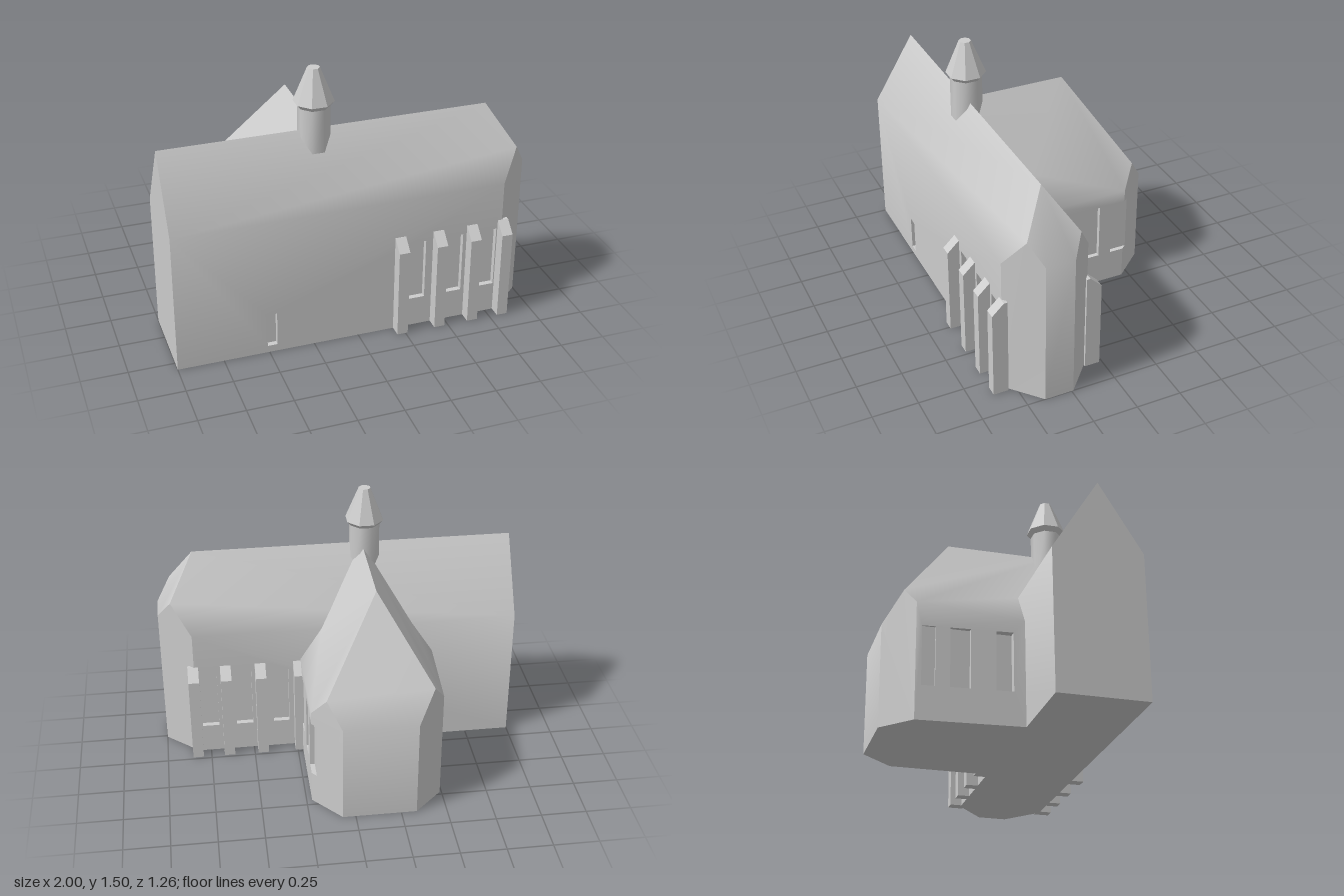
import * as THREE from 'three';
import { toCreasedNormals } from 'three/addons/utils/BufferGeometryUtils.js';

const V = (x, y, z) => new THREE.Vector3(x, y, z);

// Collects planar polygons (with holes), each facing along its outward hint
class Shell {
  constructor() { this.pos = []; }
  face(out, pts, holes = []) {
    const a = [Math.abs(out.x), Math.abs(out.y), Math.abs(out.z)];
    const drop = a.indexOf(Math.max(...a));
    const flat = p => new THREE.Vector2(...p.toArray().filter((_, i) => i !== drop));
    const outline = pts.map(flat);
    let all = [...pts];
    if (THREE.ShapeUtils.isClockWise(outline)) { outline.reverse(); all.reverse(); }
    holes.forEach(h => all.push(...h));
    for (const [i, j, k] of THREE.ShapeUtils.triangulateShape(outline, holes.map(h => h.map(flat)))) {
      const n = all[j].clone().sub(all[i]).cross(all[k].clone().sub(all[i]));
      const tri = n.dot(out) >= 0 ? [i, j, k] : [i, k, j];
      tri.forEach(t => this.pos.push(...all[t].toArray()));
    }
  }
  // Window recess: back pane and reveals between two quads
  recess(out, front, back, openSide = -1) {
    this.face(out, back);
    const mid = ps => ps.reduce((s, p) => s.add(p), V(0, 0, 0)).divideScalar(ps.length);
    const c = mid([...front, ...back]);
    for (let i = 0; i < 4; i++) {
      if (i === openSide) continue;
      const j = (i + 1) % 4, side = [front[i], front[j], back[j], back[i]];
      this.face(c.clone().sub(mid(side)), side);
    }
  }
  mesh(name, material) {
    const g = new THREE.BufferGeometry();
    g.setAttribute('position', new THREE.Float32BufferAttribute(this.pos, 3));
    const m = new THREE.Mesh(toCreasedNormals(g, 0.64), material);
    m.name = name;
    return m;
  }
}

function buildNave(mat) {
  const s = new Shell();
  const westRidge = V(-1, 1.17, 0.33), eastRidge = V(0.79, 1.17, 0.33);
  const sides = [
    { z: 0.56, eave: 0.79, d: 1, apex: V(0.925, 0.95, 0.467), endZ: 0.40 },
    { z: 0.08, eave: 0.77, d: -1, apex: V(0.927, 0.935, 0.176), endZ: 0.24 },
  ];
  for (const { z, eave, d, apex, endZ } of sides) {
    const out = V(0, 0, d);
    const openings = [[0.29, 0.38, 0.17, 0.52], [0.50, 0.595, 0.17, 0.52], [0.695, 0.79, 0.17, 0.52]];
    if (d > 0) openings.push([-0.51, -0.455, 0.04, 0.235]); // small door
    const quad = ([a, b, c, e], zz) => [V(a, c, zz), V(b, c, zz), V(b, e, zz), V(a, e, zz)];
    s.face(out, [V(-1, 0, z), V(0.82, 0, z), V(0.82, eave, z), V(-1, eave, z)], openings.map(o => quad(o, z)));
    openings.forEach(o => s.recess(out, quad(o, z), quad(o, z - d * 0.03)));
    // roof slope and canted apse wall
    s.face(V(0, 0.8, d), [V(-1, eave, z), V(0.82, eave, z), apex, eastRidge, westRidge]);
    s.face(V(0.9, 0, d), [V(0.82, 0, z), V(1, 0, endZ), V(1, 0.83, endZ), apex, V(0.82, eave, z)]);
  }
  // gable end, apse end, hip and floor
  s.face(V(-1, 0, 0), [V(-1, 0, 0.08), V(-1, 0, 0.56), V(-1, 0.79, 0.56), westRidge, V(-1, 0.77, 0.08)]);
  s.face(V(1, 0, 0), [V(1, 0, 0.24), V(1, 0, 0.40), V(1, 0.83, 0.40), V(1, 0.83, 0.24)]);
  s.face(V(1, 0.6, 0), [eastRidge, sides[0].apex, V(1, 0.83, 0.40), V(1, 0.83, 0.24), sides[1].apex]);
  s.face(V(0, -1, 0), [V(-1, 0, 0.08), V(-1, 0, 0.56), V(0.82, 0, 0.56), V(1, 0, 0.40), V(1, 0, 0.24), V(0.82, 0, 0.08)]);
  return s.mesh('nave', mat);
}

function buildTransept(mat) {
  const s = new Shell();
  const ridgeIn = V(-0.155, 1.17, 0.33), ridgeOut = V(-0.155, 1.17, -0.24);
  const apexE = V(0.145, 0.70, -0.54), apexW = V(-0.43, 0.73, -0.535);
  const lo = 0.185, hi = 0.51;
  const quad = (z0, z1, x0, x1 = x0) => [V(x0, lo, z0), V(x1, lo, z1), V(x1, hi, z1), V(x0, hi, z0)];
  const bays = [[0.02, -0.07], [-0.2, -0.305]];

  // east wall, its last window breaking through the canted corner
  const east = V(1, 0, 0), ex = 0.22, bx = 0.195;
  s.face(east, [V(ex, 0, 0.08), V(ex, 0, -0.46), V(ex, lo, -0.46), V(ex, lo, -0.38), V(ex, hi, -0.38),
    V(ex, hi, -0.46), V(ex, 0.58, -0.46), V(ex, 0.58, 0.08)], bays.map(([a, b]) => quad(a, b, ex)));
  bays.forEach(([a, b]) => s.recess(east, quad(a, b, ex), quad(a, b, bx)));
  s.recess(east, quad(-0.38, -0.46, ex), quad(-0.38, -0.488, bx), 1);
  s.face(V(1, 0, -0.9), [V(ex, 0, -0.46), V(0.07, 0, -0.63), V(0.07, 0.565, -0.63), apexE, V(ex, 0.58, -0.46),
    V(ex, hi, -0.46), V(bx, hi, -0.488), V(bx, lo, -0.488), V(ex, lo, -0.46)]);

  // west wall, slightly tapered in plan
  const west = V(-1, 0, 0), wx = z => -0.53 + 0.04 * (0.08 - z) / 0.56;
  const westBays = [...bays, [-0.38, -0.45]];
  const outer = ([a, b]) => quad(a, b, wx(a), wx(b));
  s.face(west, [V(-0.53, 0, 0.08), V(-0.49, 0, -0.48), V(-0.49, 0.64, -0.48), V(-0.53, 0.58, 0.08)], westBays.map(outer));
  westBays.forEach(b => s.recess(west, outer(b), quad(b[0], b[1], -0.485)));
  s.face(V(-0.9, 0, -1), [V(-0.49, 0, -0.48), V(-0.335, 0, -0.63), V(-0.335, 0.565, -0.63), apexW, V(-0.49, 0.64, -0.48)]);

  // end wall, roof slopes meeting the nave at the valleys, hip and floor
  s.face(V(0, 0, -1), [V(-0.335, 0, -0.63), V(0.07, 0, -0.63), V(0.07, 0.565, -0.63), V(-0.335, 0.565, -0.63)]);
  s.face(V(0.8, 1, 0), [ridgeIn, V(0.1, 0.77, 0.08), V(ex, 0.58, 0.08), V(ex, 0.58, -0.46), apexE, ridgeOut]);
  s.face(V(-0.8, 1, 0), [ridgeIn, V(-0.41, 0.77, 0.08), V(-0.53, 0.58, 0.08), V(-0.49, 0.64, -0.48), apexW, ridgeOut]);
  s.face(V(0, 1, -0.8), [ridgeOut, apexE, V(0.07, 0.565, -0.63), V(-0.335, 0.565, -0.63), apexW]);
  s.face(V(0, -1, 0), [V(-0.53, 0, 0.08), V(-0.49, 0, -0.48), V(-0.335, 0, -0.63), V(0.07, 0, -0.63), V(ex, 0, -0.46), V(ex, 0, 0.08)]);
  return s.mesh('transept', mat);
}

// Sloped-top buttresses along both sides of the choir
function buildButtresses(mat) {
  const group = new THREE.Group();
  group.name = 'buttresses';
  const profile = new THREE.Shape([[-0.02, 0], [0.065, 0], [0.065, 0.507], [0, 0.57], [-0.02, 0.57]].map(p => new THREE.Vector2(...p)));
  const geo = new THREE.ExtrudeGeometry(profile, { depth: 0.06, bevelEnabled: false });
  geo.translate(0, 0, -0.03);
  for (const x of [0.233, 0.45, 0.645, 0.826]) {
    for (const [z, d] of [[0.562, 1], [0.08, -1]]) {
      const b = new THREE.Mesh(geo, mat);
      b.name = 'buttress';
      b.rotation.y = -d * Math.PI / 2;
      b.position.set(x, 0, z);
      group.add(b);
    }
  }
  return group;
}

// Eight-sided ridge turret with flared eaves and a blunt spire
function buildTurret(mat) {
  const group = new THREE.Group();
  group.name = 'turret';
  const ring = (name, rTop, rBottom, y0, y1, crease) => {
    let g = new THREE.CylinderGeometry(rTop, rBottom, y1 - y0, 8, 1, false, Math.PI / 8);
    g = toCreasedNormals(g, crease);
    const m = new THREE.Mesh(g, mat);
    m.name = name;
    m.position.y = (y0 + y1) / 2;
    group.add(m);
  };
  ring('turretShaft', 0.086, 0.086, 0.92, 1.295, 0.9);
  ring('turretEaves', 0.108, 0.086, 1.295, 1.32, 0.3);
  ring('turretSpire', 0.033, 0.108, 1.32, 1.505, 0.3);
  group.position.set(-0.17, 0, 0.32);
  return group;
}

export function createModel() {
  const stone = new THREE.MeshStandardMaterial({ color: 0xcccccc });
  stone.name = 'stone';
  const model = new THREE.Group();
  model.name = 'chapel';
  model.add(buildNave(stone), buildTransept(stone), buildButtresses(stone), buildTurret(stone));
  return model;
}
